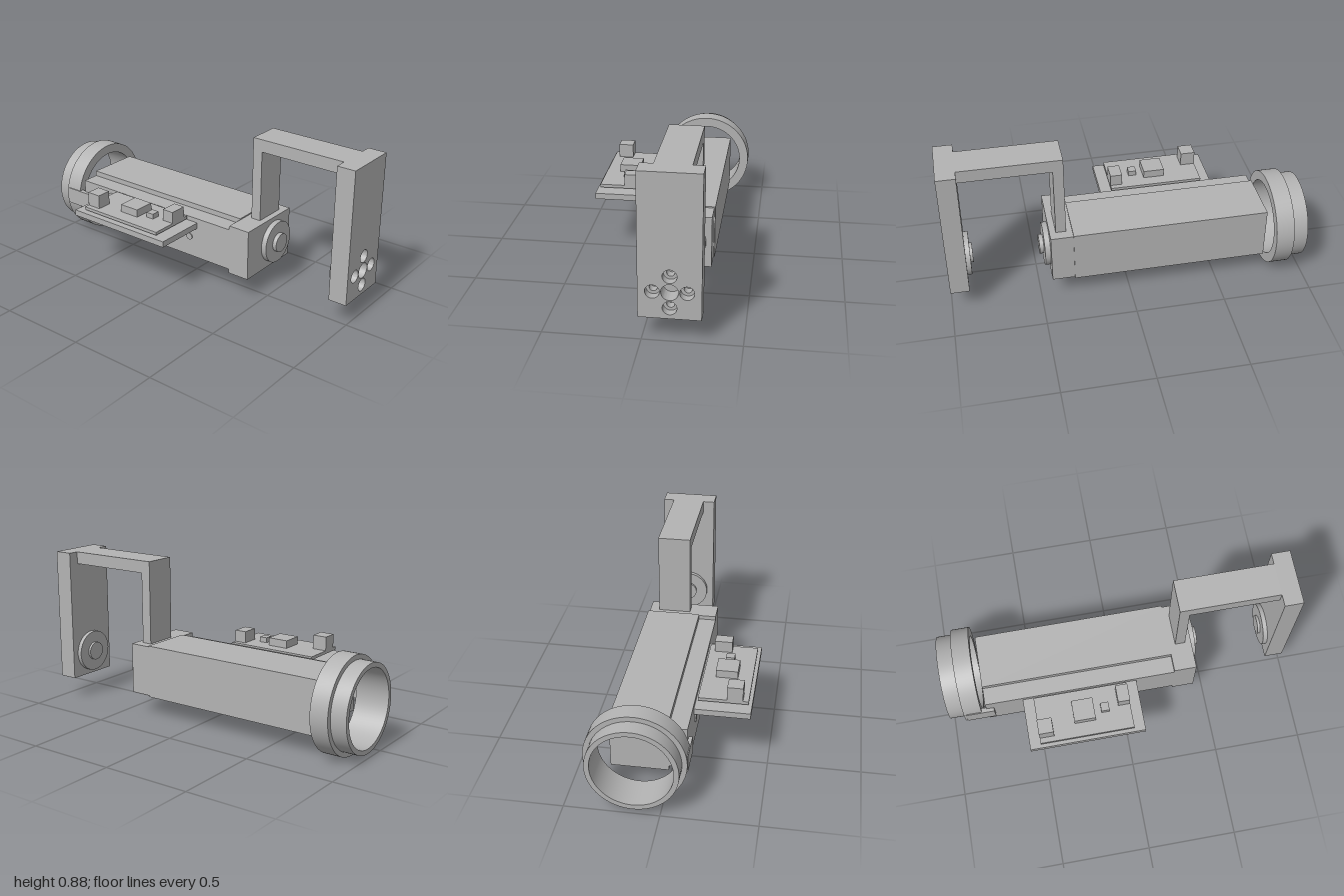
import * as THREE from 'three';
import { toCreasedNormals } from 'three/addons/utils/BufferGeometryUtils.js';

const AXIS_Y = 0.268, AXIS_Z = -0.14; // shared roll axis along x

export function createModel() {
  const grey = new THREE.MeshStandardMaterial({ color: 0xb3b3b3 });
  grey.name = 'light grey';
  const model = new THREE.Group();
  model.name = 'cameraGimbal';

  const add = (name, geometry) => {
    const mesh = new THREE.Mesh(geometry, grey);
    mesh.name = name;
    model.add(mesh);
    return mesh;
  };
  // box given by its limits on each axis
  const box = (name, x0, x1, y0, y1, z0, z1) =>
    add(name, new THREE.BoxGeometry(x1 - x0, y1 - y0, z1 - z0))
      .position.set((x0 + x1) / 2, (y0 + y1) / 2, (z0 + z1) / 2);
  // disc centred on the roll axis
  const disc = (name, x0, x1, radius) => {
    const g = new THREE.CylinderGeometry(radius, radius, x1 - x0, 48).rotateZ(Math.PI / 2);
    add(name, g).position.set((x0 + x1) / 2, AXIS_Y, AXIS_Z);
  };

  // stepped open lens ring
  const profile = [
    [0.213, -1], [0.24, -1], [0.24, -0.912], [0.267, -0.912],
    [0.267, -0.81], [0.213, -0.81], [0.213, -1],
  ].map(([r, x]) => new THREE.Vector2(r, x));
  const ring = toCreasedNormals(new THREE.LatheGeometry(profile, 72).rotateZ(-Math.PI / 2), 0.6);
  add('lensRing', ring).position.set(0, AXIS_Y, AXIS_Z);
  box('ringTab', -0.9, -0.737, 0.22, 0.316, 0.1, 0.128);

  // long body with a lower front ledge and an end block
  box('body', -0.78, 0.31, 0.12, 0.42, -0.296, 0.01);
  box('frontLedge', -0.78, 0.31, 0.148, 0.39, 0.01, 0.108);
  box('endBlock', 0.308, 0.435, 0.125, 0.413, -0.29, 0.108);
  for (const x of [-0.515, 0.033]) {
    const pin = new THREE.CylinderGeometry(0.02, 0.02, 0.02, 24).rotateX(Math.PI / 2);
    add('frontPin', pin).position.set(x, 0.268, 0.104);
  }

  // shelf and the circuit board above it
  box('shelf', -0.567, 0.087, 0.331, 0.365, 0.105, 0.405);
  box('circuitBoard', -0.505, 0.025, 0.378, 0.396, 0.12, 0.387);
  for (const [x0, x1, top, z0, z1] of [
    [-0.505, -0.423, 0.475, 0.273, 0.357],
    [-0.3, -0.18, 0.44, 0.188, 0.308],
    [-0.142, -0.096, 0.425, 0.224, 0.272],
    [-0.043, 0.025, 0.462, 0.15, 0.248],
  ]) box('boardComponent', x0, x1, 0.394, top, z0, z1);

  // motor discs facing each other
  disc('motorDisc', 0.433, 0.465, 0.12);
  disc('motorHub', 0.463, 0.488, 0.054);
  disc('mountDisc', 0.87, 0.897, 0.12);
  disc('mountHub', 0.855, 0.872, 0.054);

  // bracket from the end block to the mounting plate
  box('bracketPost', 0.343, 0.4, 0.41, 0.816, -0.235, -0.05);
  box('bracketBar', 0.343, 0.897, 0.816, 0.886, -0.235, -0.05);

  // mounting plate: solid back, then two drilled layers forming counterbores
  const plateLayer = (x0, x1, holeRadius, centreRadius) => {
    // shape coordinates: first is -z, second is y
    const s = new THREE.Shape();
    s.moveTo(-0.017, 0.125);
    s.lineTo(0.296, 0.125);
    s.lineTo(0.296, 0.886);
    s.lineTo(-0.017, 0.886);
    s.closePath();
    const drill = (dz, dy, r) => {
      const p = new THREE.Path();
      p.absarc(-AXIS_Z + dz, AXIS_Y + dy, r, 0, Math.PI * 2, true);
      s.holes.push(p);
    };
    drill(0, 0, centreRadius);
    for (const [dz, dy] of [[1, 0], [-1, 0], [0, 1], [0, -1]]) drill(dz * 0.085, dy * 0.085, holeRadius);
    const g = new THREE.ExtrudeGeometry(s, { depth: x1 - x0, bevelEnabled: false, curveSegments: 24 });
    add('drilledPlate', toCreasedNormals(g.rotateY(Math.PI / 2), 0.6)).position.x = x0;
  };
  box('mountPlate', 0.895, 0.91, 0.125, 0.886, -0.296, 0.017);
  plateLayer(0.91, 0.955, 0.02, 0.043);
  plateLayer(0.955, 1, 0.036, 0.043);

  return model;
}
